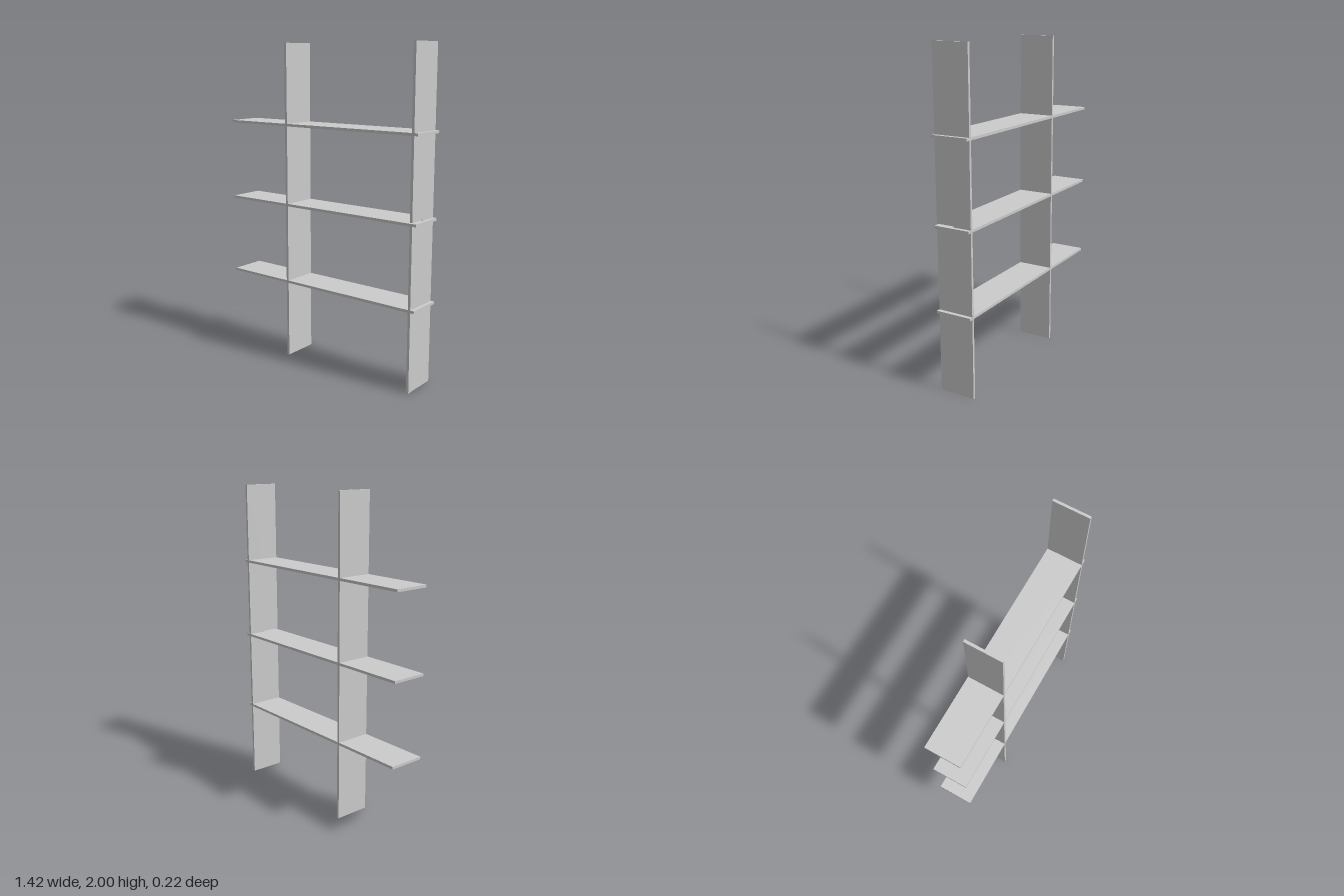
import * as THREE from 'three';

const HALF_DEPTH = 0.112;
const THICK = 0.016;
const SHELF_LEFT = 0.708, SHELF_RIGHT = -0.71;
const SHELF_Y = [0.498, 1.001, 1.504];
const UPRIGHT_X = [-0.243, 0.676];
const material = new THREE.MeshStandardMaterial({ color: 0xcccccc, flatShading: true });

// Extrudes an outline by the board thickness, centred on its own plane
function board(points, name) {
  const shape = new THREE.Shape(points.map(([a, b]) => new THREE.Vector2(a, b)));
  const geometry = new THREE.ExtrudeGeometry(shape, { depth: THICK, bevelEnabled: false });
  geometry.translate(0, 0, -THICK / 2);
  const mesh = new THREE.Mesh(geometry, material);
  mesh.name = name;
  return mesh;
}

// Upright board, outline in (z, y), slotted from the front at each shelf
function upright(x, name, middlePlay) {
  const points = [[-HALF_DEPTH, 0], [HALF_DEPTH, 0]];
  SHELF_Y.forEach((y, i) => {
    const low = y - THICK / 2;
    const high = y + THICK / 2 + (i === 1 ? middlePlay : 0);
    points.push([HALF_DEPTH, low], [0, low], [0, high], [HALF_DEPTH, high]);
  });
  points.push([HALF_DEPTH, 2], [-HALF_DEPTH, 2]);
  const mesh = board(points, name);
  mesh.geometry.rotateY(-Math.PI / 2);
  mesh.position.x = x;
  return mesh;
}

// Shelf board, outline in (x, z), slotted from the back at each upright
function shelf(y, name) {
  const points = [[SHELF_RIGHT, HALF_DEPTH], [SHELF_RIGHT, -HALF_DEPTH]];
  for (const x of UPRIGHT_X) {
    const a = x - THICK / 2, b = x + THICK / 2;
    points.push([a, -HALF_DEPTH], [a, 0], [b, 0], [b, -HALF_DEPTH]);
  }
  points.push([SHELF_LEFT, -HALF_DEPTH], [SHELF_LEFT, HALF_DEPTH]);
  const mesh = board(points, name);
  mesh.geometry.rotateX(Math.PI / 2);
  mesh.position.y = y;
  return mesh;
}

export function createModel() {
  const group = new THREE.Group();
  group.name = 'shelvingUnit';
  group.add(upright(UPRIGHT_X[0], 'rightUpright', 0));
  group.add(upright(UPRIGHT_X[1], 'leftUpright', 0.006));
  const names = ['lowerShelf', 'middleShelf', 'upperShelf'];
  SHELF_Y.forEach((y, i) => group.add(shelf(y, names[i])));
  return group;
}
